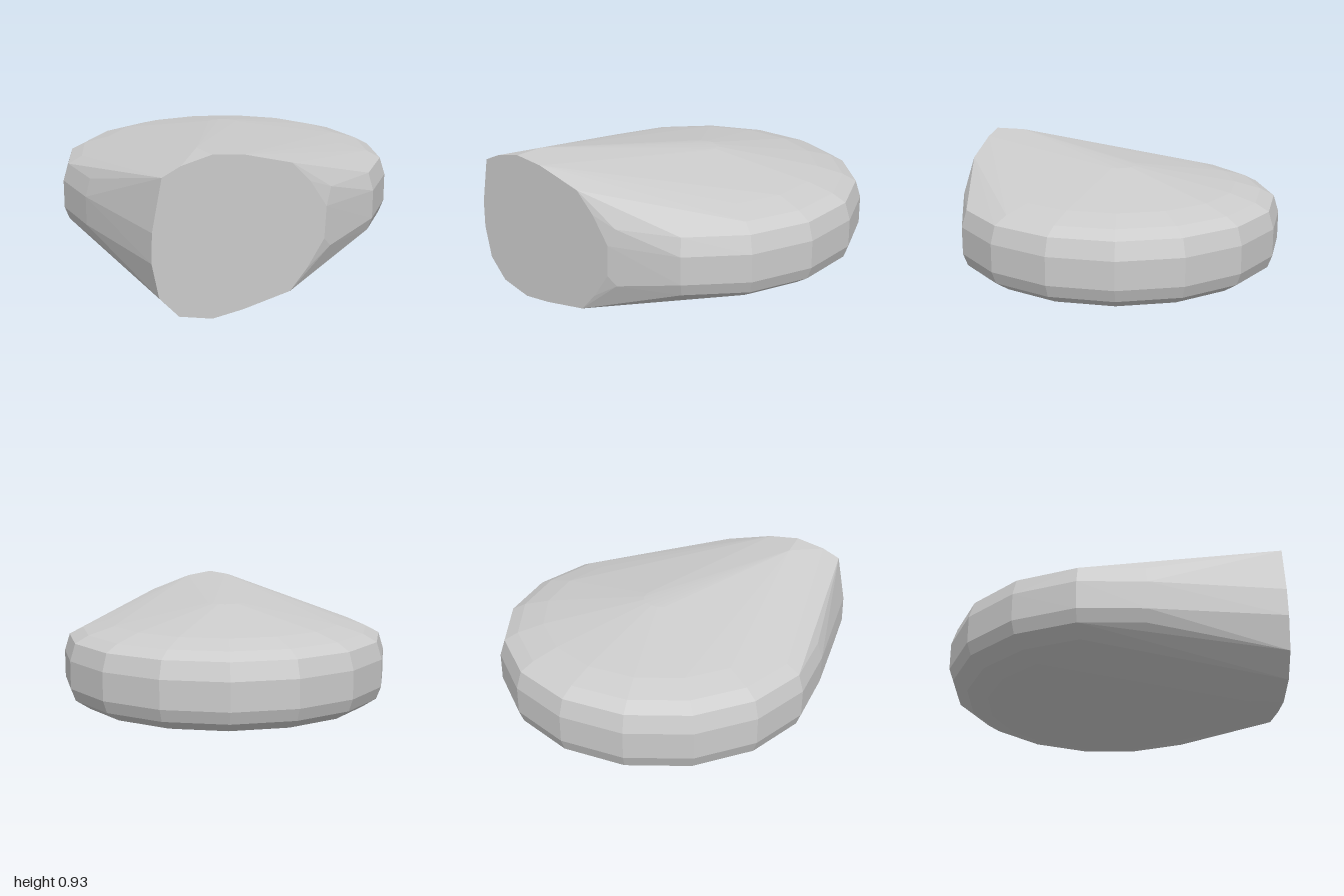
import * as THREE from 'three';
import { ConvexGeometry } from 'three/addons/geometries/ConvexGeometry.js';

export function createModel() {
  const group = new THREE.Group();
  const points = [];

  // Flat, rounded end face
  const face = [
    [-0.92, 0.55], [-0.925, 0.38], [-0.885, 0.18], [-0.77, 0.055], [-0.57, 0.005],
    [-0.38, 0.025], [-0.08, 0.08], [0.03, 0.2], [0.14, 0.36], [0.15, 0.55],
    [0.04, 0.71], [-0.08, 0.83], [-0.38, 0.91], [-0.57, 0.93], [-0.75, 0.89], [-0.86, 0.84],
  ];
  for (const [x, y] of face) points.push(new THREE.Vector3(x, y, 0.99));

  // Top and bottom of the face run back a little before tapering
  points.push(new THREE.Vector3(-0.57, 0.928, 0.8), new THREE.Vector3(-0.57, 0.008, 0.8));

  // Domed disc: rings of [radius, height] with 16 sides
  const rings = [
    [0.11, 0.853], [0.74, 0.745], [0.9, 0.7], [0.985, 0.655], [1.018, 0.55],
    [1.018, 0.38], [0.99, 0.305], [0.9, 0.245], [0.77, 0.21], [0.11, 0.078],
  ];
  const sides = 16;
  for (const [r, y] of rings) {
    for (let i = 0; i < sides; i++) {
      const a = ((i + 0.5) / sides) * Math.PI * 2;
      const z = Math.sin(a) * r;
      // The end face takes over where the disc would reach past it
      if (z < 0.98) points.push(new THREE.Vector3(Math.cos(a) * r, y, z));
    }
  }

  // Taut skin around the face and the disc
  const body = new THREE.Mesh(
    new ConvexGeometry(points),
    new THREE.MeshStandardMaterial({ color: 0xcccccc, flatShading: true })
  );
  body.name = 'taperedBody';
  group.add(body);
  return group;
}
